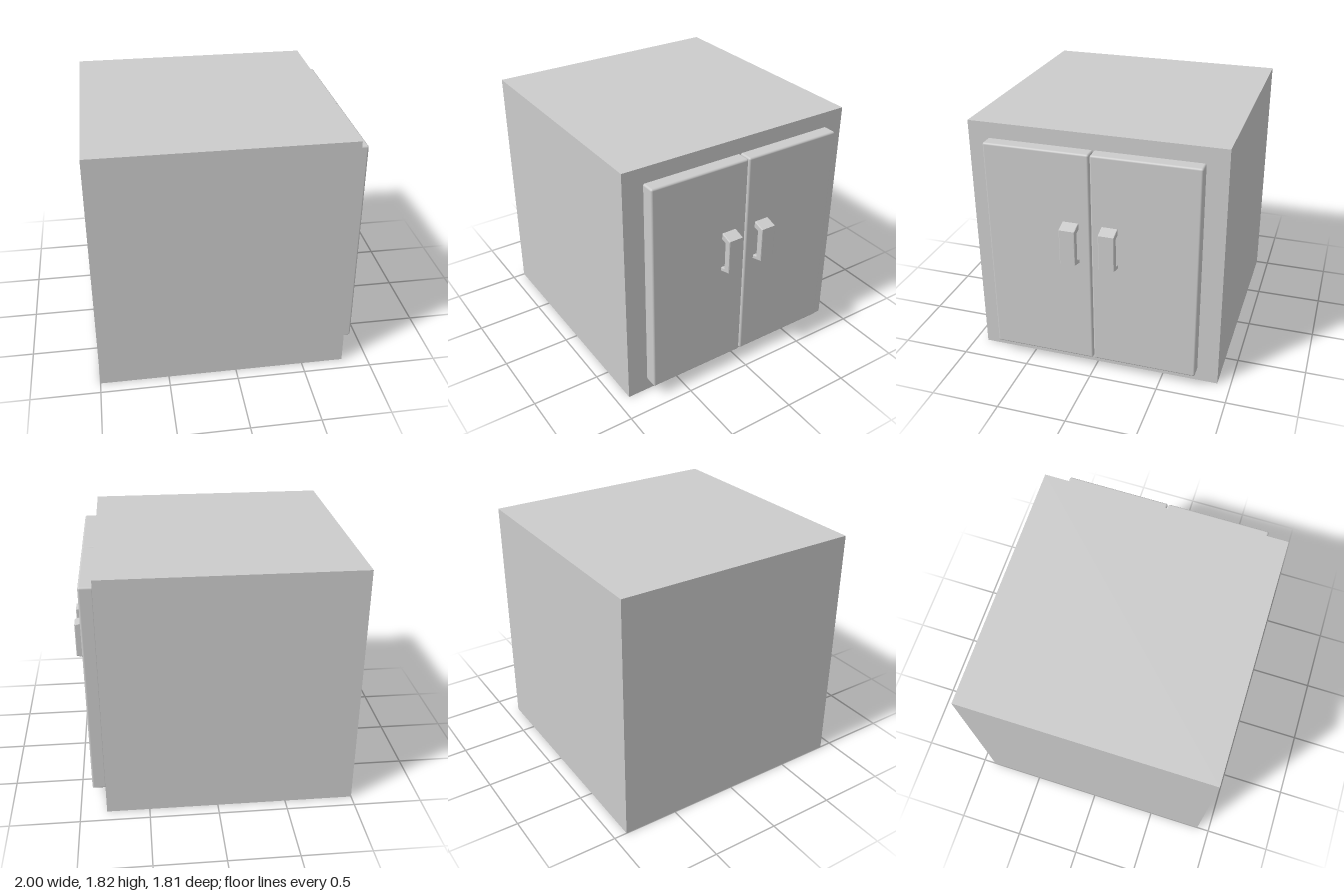
import * as THREE from 'three';
import { RoundedBoxGeometry } from 'three/addons/geometries/RoundedBoxGeometry.js';

const material = new THREE.MeshStandardMaterial({ color: 0xcccccc });

function addPart(parent, name, geometry, x, y, z) {
  const mesh = new THREE.Mesh(geometry, material);
  mesh.name = name;
  mesh.position.set(x, y, z);
  parent.add(mesh);
}

// Bracket-shaped pull handle: side profile extruded along z, softly bevelled
function handleGeometry(width) {
  const bevel = 0.006;
  const profile = new THREE.Shape([
    [0.905, 0.888], [0.997, 0.914], [0.997, 1.172], [0.905, 1.2],
    [0.905, 1.148], [0.948, 1.138], [0.948, 0.932], [0.905, 0.92],
  ].map(([x, y]) => new THREE.Vector2(x, y)));
  const geometry = new THREE.ExtrudeGeometry(profile, {
    depth: width - 2 * bevel,
    bevelThickness: bevel,
    bevelSize: bevel,
    bevelOffset: -bevel,
    bevelSegments: 2,
  });
  return geometry.translate(0, 0, bevel - width / 2);
}

export function createModel() {
  const group = new THREE.Group();
  group.name = 'cabinet';

  // Plain box carcass
  addPart(group, 'cabinetBody', new THREE.BoxGeometry(1.81, 1.815, 1.81), -0.095, 0.9075, 0);

  // Pair of rounded doors on the +x side, each with a handle near the middle
  const door = new RoundedBoxGeometry(0.104, 1.605, 0.753, 3, 0.014);
  const handle = handleGeometry(0.114);
  for (const [label, side] of [['front', 1], ['back', -1]]) {
    addPart(group, label + 'Door', door, 0.861, 0.9035, side * 0.38);
    addPart(group, label + 'Handle', handle, 0, 0, side * 0.139 + 0.003);
  }
  return group;
}
